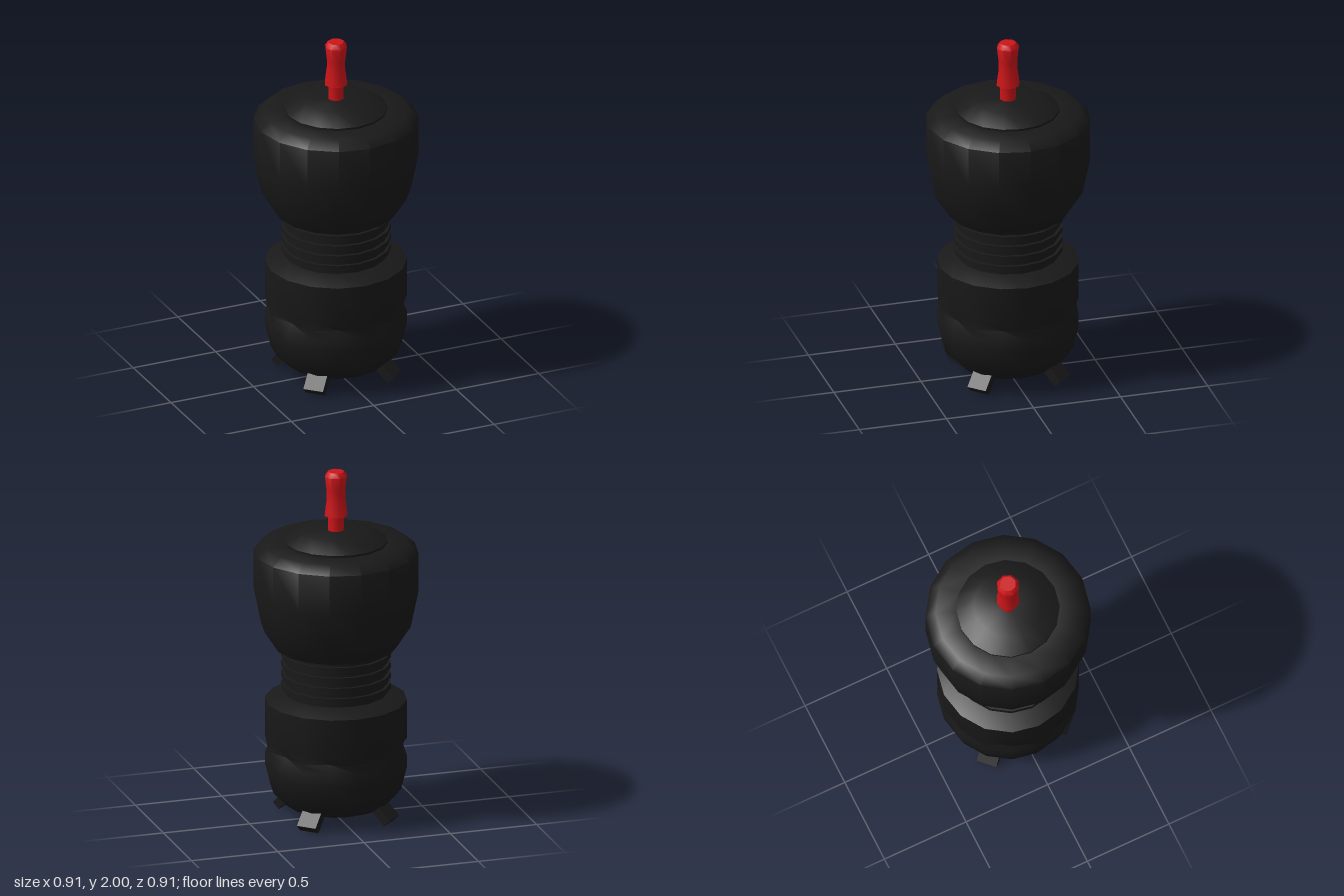
import * as THREE from 'three';
import { mergeVertices, toCreasedNormals } from 'three/addons/utils/BufferGeometryUtils.js';

const black = new THREE.MeshStandardMaterial({ color: 0x191919 });
const red = new THREE.MeshStandardMaterial({ color: 0xcc1418 });

// Profile of [radius, height] points, bottom to top, turned around y.
function turned(name, profile, sides, material, crease, reshape) {
  const lathe = new THREE.LatheGeometry(profile.map(([r, y]) => new THREE.Vector2(r, y)), sides);
  lathe.deleteAttribute('uv');
  lathe.deleteAttribute('normal');
  const geometry = mergeVertices(lathe);
  if (reshape) reshape(geometry.attributes.position);
  const mesh = new THREE.Mesh(toCreasedNormals(geometry, crease), material);
  mesh.name = name;
  return mesh;
}

// Pinch every second corner of the row at the given height inwards.
function pinchRow(height, depth) {
  return (position) => {
    for (let i = 0; i < position.count; i++) {
      const x = position.getX(i), z = position.getZ(i);
      if (Math.abs(position.getY(i) - height) > 0.001) continue;
      const step = Math.round(Math.atan2(x, z) / (Math.PI / 8));
      if (step % 2 === 0) continue;
      const k = 1 - depth / Math.hypot(x, z);
      position.setX(i, x * k);
      position.setZ(i, z * k);
    }
  };
}

export function createModel() {
  const model = new THREE.Group();
  model.name = 'plungerDevice';

  // Lower body with a row of dimples
  model.add(turned('lowerBody', [
    [0, 0.03], [0.14, 0.03], [0.28, 0.08], [0.36, 0.16], [0.392, 0.29], [0.392, 0.36],
    [0.392, 0.41], [0.392, 0.46], [0.392, 0.68], [0.29, 0.72], [0, 0.72],
  ], 16, black, 1.1, pinchRow(0.41, 0.035)));

  // Ribbed neck
  const neck = [[0.285, 0.71]];
  for (let i = 0; i < 4; i++) {
    const y = 0.745 + i * 0.06;
    neck.push([0.285, y], [0.303, y], [0.303, y + 0.03], [0.285, y + 0.03]);
  }
  neck.push([0.285, 1.0]);
  model.add(turned('ribbedNeck', neck, 16, black, 0.9));

  // Upper body with a raised cap
  model.add(turned('upperBody', [
    [0, 0.985], [0.335, 0.985], [0.413, 1.105], [0.455, 1.31], [0.455, 1.54],
    [0.4, 1.588], [0.285, 1.59], [0.285, 1.602], [0.19, 1.66], [0, 1.66],
  ], 16, black, 0.9));

  // Red plunger: thin stem and waisted grip
  model.add(turned('stem', [[0, 1.64], [0.045, 1.64], [0.045, 1.76], [0, 1.76]], 8, red, 0.9));
  model.add(turned('grip', [
    [0, 1.746], [0.066, 1.746], [0.062, 1.785], [0.054, 1.84], [0.054, 1.89],
    [0.064, 1.975], [0.045, 2], [0, 2],
  ], 8, red, 0.9));

  // Four feet splayed out along the diagonals
  for (let i = 0; i < 4; i++) {
    const pivot = new THREE.Group();
    pivot.name = 'foot';
    pivot.rotation.y = Math.PI / 4 + i * Math.PI / 2;
    const foot = new THREE.Mesh(new THREE.BoxGeometry(0.115, 0.12, 0.052), black);
    foot.name = 'footBlock';
    foot.rotation.x = -Math.PI / 4;
    foot.position.set(0, 0.0608, 0.301);
    pivot.add(foot);
    model.add(pivot);
  }
  return model;
}
